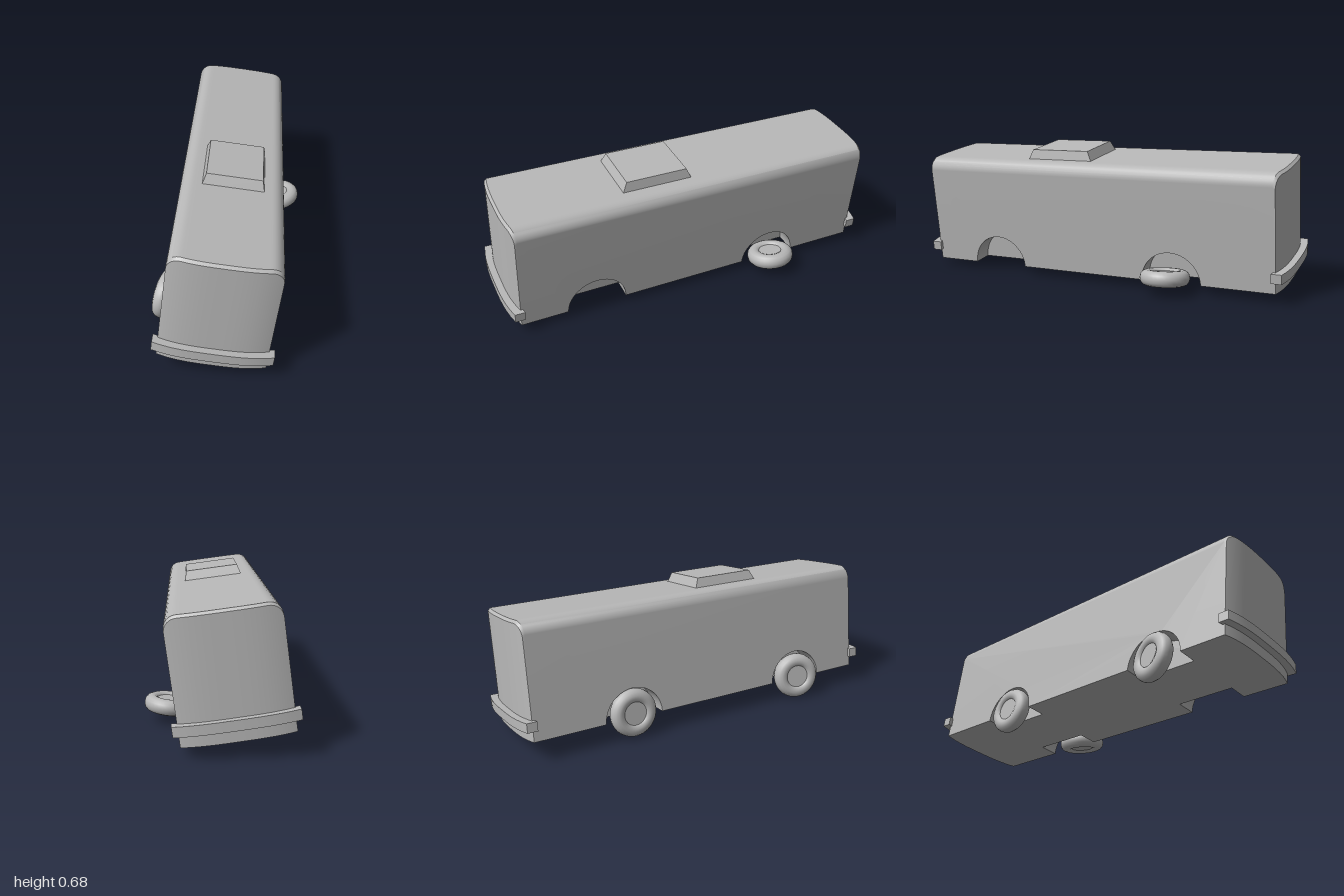
import * as THREE from 'three';
import { mergeGeometries, toCreasedNormals } from 'three/addons/utils/BufferGeometryUtils.js';

const HALF_W = 0.245, HALF_L = 0.927, HEIGHT = 0.555, ROOF_R = 0.06;
const NOTCH = 0.1, ARCH_R = 0.15, ARCHES = [0.545, -0.42];

// How far an end of the bus bulges out at a given x
const bow = (x, half) => 0.027 * (1 - Math.abs(x / half) ** 3);

// Lowers the roof towards its rounded long edges
function roofDrop(x) {
  const d = Math.max(0, Math.abs(x) - (HALF_W - ROOF_R));
  return ROOF_R - Math.sqrt(Math.max(0, ROOF_R * ROOF_R - d * d));
}

// Side profile of the bus, with or without wheel arches
function sideProfile(withArches) {
  const s = new THREE.Shape();
  s.moveTo(-HALF_L, 0);
  if (withArches) {
    for (const z of ARCHES) {
      s.lineTo(-z - ARCH_R, 0);
      s.absarc(-z, 0, ARCH_R, Math.PI, 0, true);
    }
  }
  s.lineTo(HALF_L, 0);
  s.lineTo(HALF_L, HEIGHT - 0.012);
  s.lineTo(HALF_L - 0.012, HEIGHT);
  s.lineTo(-HALF_L + 0.012, HEIGHT);
  s.lineTo(-HALF_L, HEIGHT - 0.012);
  s.closePath();
  return s;
}

// One lengthwise slab; xAt maps 0..1 across the slab to x
function slab(withArches, xAt) {
  const g = new THREE.ExtrudeGeometry(sideProfile(withArches), {
    depth: 1, steps: 12, bevelEnabled: false, curveSegments: 24,
  });
  g.rotateY(Math.PI / 2);
  const p = g.attributes.position;
  for (let i = 0; i < p.count; i++) {
    const x = xAt(p.getX(i)), y = p.getY(i), z = p.getZ(i);
    p.setXYZ(i, x,
      y > 0.5 ? y - roofDrop(x) : y,
      Math.abs(z) > 0.9 ? z + Math.sign(z) * bow(x, HALF_W) : z);
  }
  return g;
}

function bodyGeometry() {
  const inner = HALF_W - NOTCH;
  const ease = (t) => inner + NOTCH * Math.sin(t * Math.PI / 2);
  return toCreasedNormals(mergeGeometries([
    slab(true, (t) => -ease(1 - t)),
    slab(false, (t) => inner * (2 * t - 1)),
    slab(true, ease),
  ]), 0.6);
}

// Bowed bar that wraps an end of the bus
function bumperGeometry() {
  const half = 0.268, n = 12, pts = [];
  for (let i = 0; i <= n; i++) {
    const x = half * (2 * i / n - 1);
    pts.push(new THREE.Vector2(x, 0.91 + bow(x, half)));
  }
  for (let i = n; i >= 0; i--) pts.push(new THREE.Vector2(pts[i].x, pts[i].y + 0.05));
  const g = new THREE.ExtrudeGeometry(new THREE.Shape(pts), { depth: 0.046, bevelEnabled: false });
  g.rotateX(Math.PI / 2);
  return toCreasedNormals(g, 0.5);
}

// Rounded tyre with a recessed hub disc on both faces, axle along y
function wheelGeometry() {
  const half = [[0, 0.026], [0.058, 0.026], [0.061, 0.031], [0.075, 0.037],
    [0.09, 0.037], [0.106, 0.03], [0.116, 0.017]];
  const pts = [...half.map(([r, y]) => [r, -y]), [0.119, 0], ...half.slice().reverse()]
    .map(([r, y]) => new THREE.Vector2(r, y));
  return toCreasedNormals(new THREE.LatheGeometry(pts, 36).toNonIndexed(), 0.75);
}

// Tapered roof unit
function hatchGeometry() {
  const g = new THREE.BoxGeometry(0.3, 0.065, 0.37).toNonIndexed();
  const p = g.attributes.position;
  for (let i = 0; i < p.count; i++) {
    if (p.getY(i) > 0) {
      p.setX(i, p.getX(i) * 0.88);
      p.setZ(i, p.getZ(i) * 0.84);
    }
  }
  g.computeVertexNormals();
  return g;
}

export function createModel() {
  const grey = new THREE.MeshStandardMaterial({ color: 0xb8b8b8 });
  grey.name = 'plain grey';
  const root = new THREE.Group();
  root.name = 'brokenBus';

  const add = (parent, name, geometry, x = 0, y = 0, z = 0) => {
    const m = new THREE.Mesh(geometry, grey);
    m.name = name;
    m.position.set(x, y, z);
    parent.add(m);
    return m;
  };

  // The bus stands turned and leans over towards its missing wheels
  const bus = new THREE.Group();
  bus.name = 'leaningBus';
  bus.position.set(-0.028, 0.071, 0.006);
  bus.rotation.set(0.006, -0.254, -0.13, 'YXZ');
  root.add(bus);

  add(bus, 'body', bodyGeometry());
  add(bus, 'roofHatch', hatchGeometry(), 0, HEIGHT + 0.014, 0.196);

  const bumper = bumperGeometry();
  add(bus, 'frontBumper', bumper, 0, 0.099, 0);
  add(bus, 'rearBumper', bumper, 0, 0.104, 0).rotation.y = Math.PI;

  // Two wheels still in place, the front one steered
  const wheel = wheelGeometry();
  const front = add(bus, 'frontWheel', wheel, -0.247, 0.018, ARCHES[0]);
  front.rotation.set(0, -0.22, Math.PI / 2, 'YXZ');
  const rear = add(bus, 'rearWheel', wheel, -0.23, 0.024, ARCHES[1]);
  rear.rotation.z = Math.PI / 2;

  // Wheel that has come off and lies almost flat
  add(root, 'fallenWheel', wheel, 0.36, 0.079, -0.317).rotation.z = 0.12;

  return root;
}
